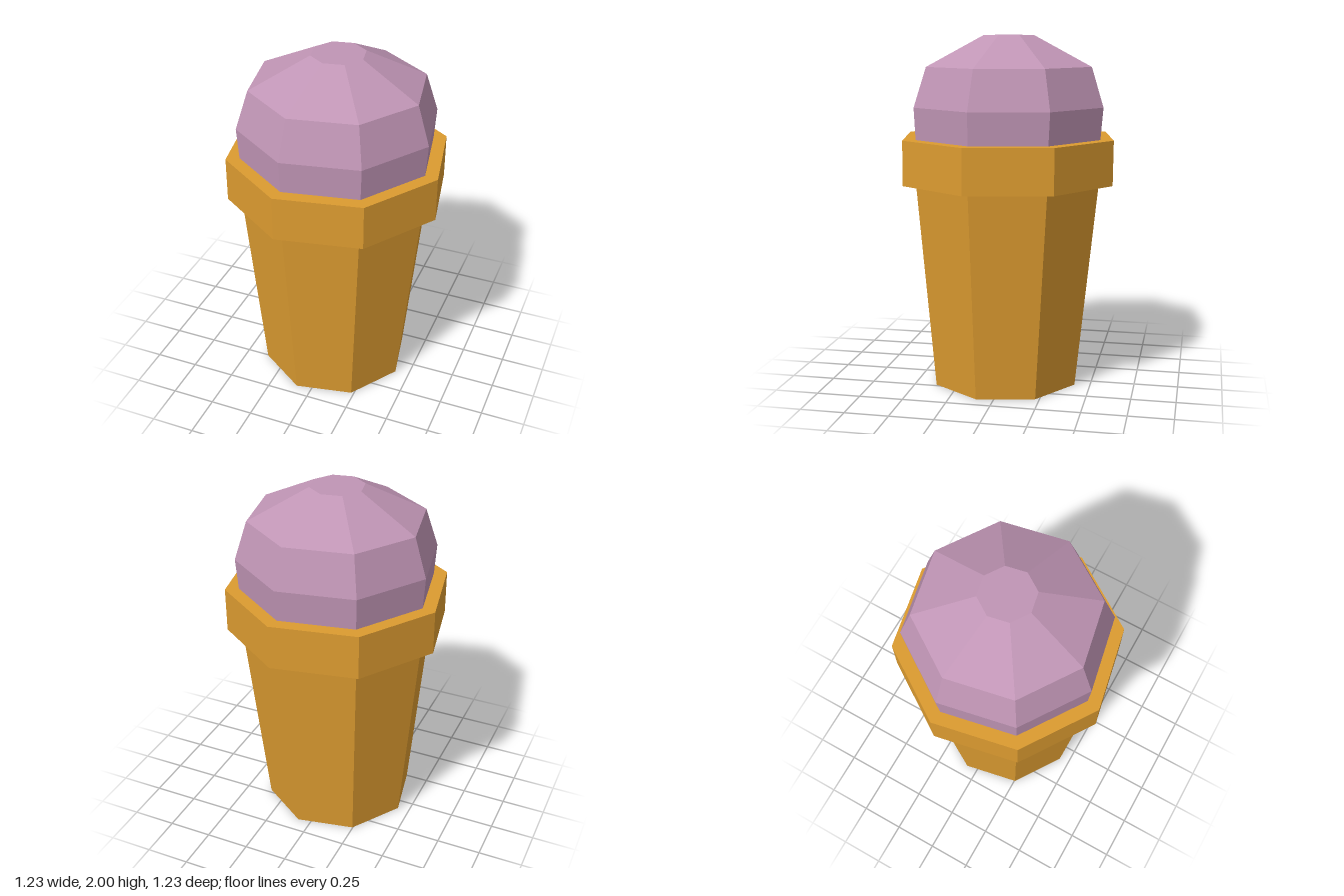
import * as THREE from 'three';

const SIDES = 8;
const TURN = -Math.PI / 16;

// One octagonal ring: height, radius and a slight off-centre shift
function ringPoints([y, r, cx = 0, cz = 0]) {
  return Array.from({ length: SIDES }, (_, i) => {
    const a = TURN + (i / SIDES) * Math.PI * 2;
    return [cx + r * Math.sin(a), y, cz + r * Math.cos(a)];
  });
}

// Skin joining successive rings, with an optional flat lid on the last one
function loft(name, material, rings, lid = false) {
  const loops = rings.map(ringPoints);
  const pos = [];
  for (let k = 0; k < loops.length - 1; k++) {
    const a = loops[k], b = loops[k + 1];
    for (let i = 0; i < SIDES; i++) {
      const j = (i + 1) % SIDES;
      pos.push(...a[i], ...a[j], ...b[j], ...a[i], ...b[j], ...b[i]);
    }
  }
  if (lid) {
    const top = loops[loops.length - 1];
    for (let i = 1; i < SIDES - 1; i++) pos.push(...top[0], ...top[i], ...top[i + 1]);
  }
  const geo = new THREE.BufferGeometry();
  geo.setAttribute('position', new THREE.Float32BufferAttribute(pos, 3));
  geo.computeVertexNormals();
  const mesh = new THREE.Mesh(geo, material);
  mesh.name = name;
  return mesh;
}

export function createModel() {
  const wafer = new THREE.MeshStandardMaterial({ color: 0xdc9b30, flatShading: true, side: THREE.DoubleSide });
  wafer.name = 'wafer orange';
  const cream = new THREE.MeshStandardMaterial({ color: 0xc095b5, flatShading: true, side: THREE.DoubleSide });
  cream.name = 'cream mauve';

  const group = new THREE.Group();
  group.name = 'iceCreamCup';
  group.add(
    // Tapered cup, open underneath
    loft('cup', wafer, [[0, 0.433, -0.007, 0.014], [1.18, 0.548, -0.002, 0.002]]),
    // Thick rim: underside, outer wall and top ledge
    loft('rim', wafer, [
      [1.18, 0.548, -0.002, 0.002],
      [1.18, 0.627],
      [1.432, 0.627, 0, -0.002],
      [1.432, 0.55, 0, -0.002],
    ]),
    // Faceted scoop with a small flat top
    loft('scoop', cream, [
      [1.432, 0.55, 0, -0.002],
      [1.61, 0.562, 0, -0.005],
      [1.83, 0.49, 0, -0.007],
      [2, 0.152, 0, -0.007],
    ], true),
  );
  return group;
}
